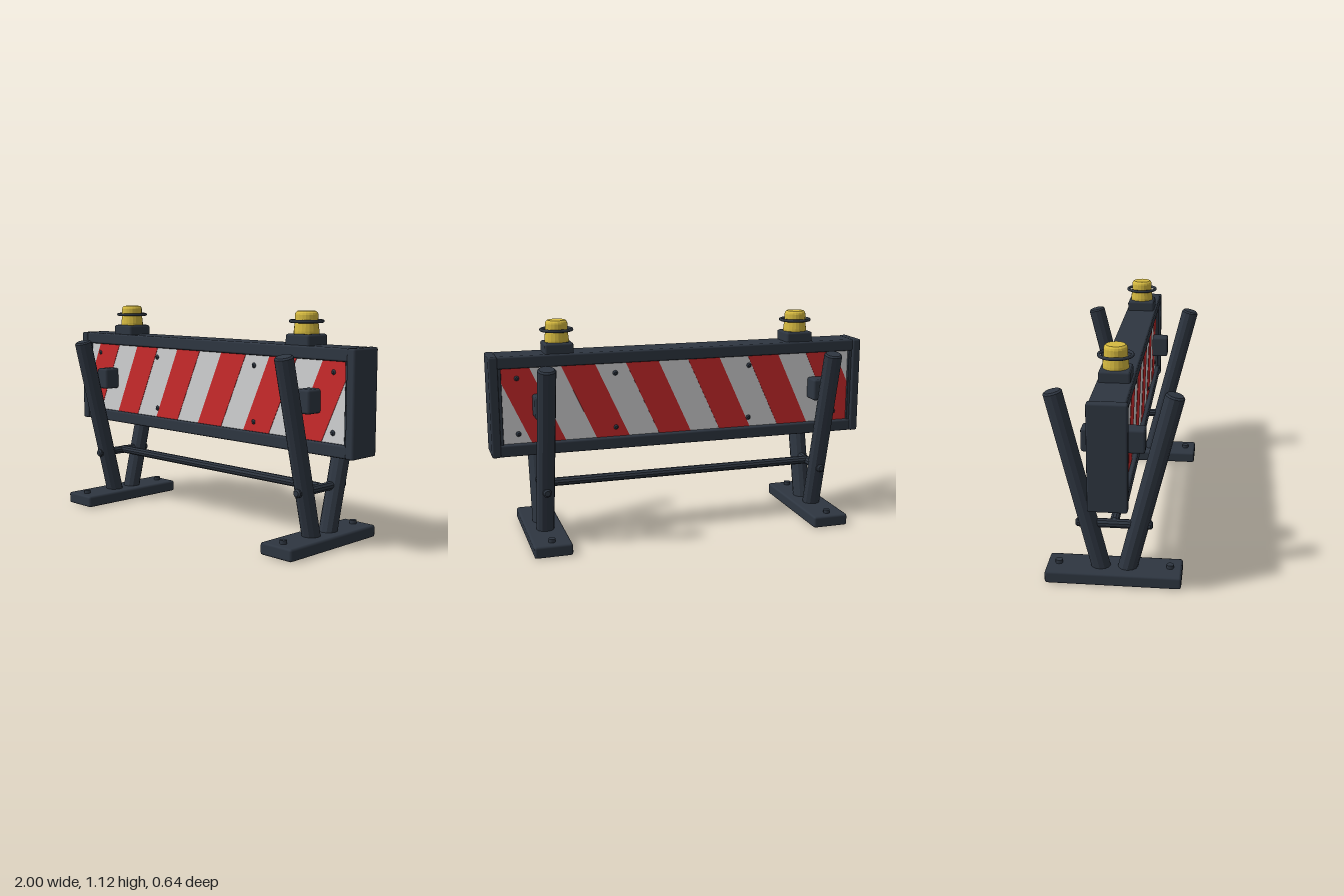
import * as THREE from 'three';
import { RoundedBoxGeometry } from 'three/addons/geometries/RoundedBoxGeometry.js';

const mat = (name, color) => {
  const m = new THREE.MeshStandardMaterial({ color });
  m.name = name;
  return m;
};

export function createModel() {
  const root = new THREE.Group();
  root.name = 'barricade';
  const steel = mat('dark steel', 0x2e3641);
  const white = mat('reflective white', 0xd2d3d5);
  const red = mat('stripe red', 0xcc2a2c);
  const amber = mat('lamp yellow', 0xd6ba40);

  const add = (name, geo, material, x = 0, y = 0, z = 0, parent = root) => {
    const m = new THREE.Mesh(geo, material);
    m.name = name;
    m.position.set(x, y, z);
    parent.add(m);
    return m;
  };
  const box = (w, h, d, bevel = 0.01) => new RoundedBoxGeometry(w, h, d, 1, bevel);
  // Round bar between two points
  const bar = (name, a, b, r, sides, parent = root) => {
    const from = new THREE.Vector3(...a), to = new THREE.Vector3(...b);
    const dir = to.clone().sub(from), len = dir.length(), e = 0.008;
    const profile = [[0, -len / 2], [r - e, -len / 2], [r, -len / 2 + e],
      [r, len / 2 - e], [r - e, len / 2], [0, len / 2]].map(p => new THREE.Vector2(...p));
    const geo = new THREE.LatheGeometry(profile, sides).toNonIndexed();
    geo.computeVertexNormals();
    const m = add(name, geo, steel, 0, 0, 0, parent);
    m.position.copy(from).add(to).multiplyScalar(0.5);
    m.quaternion.setFromUnitVectors(new THREE.Vector3(0, 1, 0), dir.normalize());
    return m;
  };

  // Sign frame: two rails, two end plates and inner stiles
  add('topRail', box(1.92, 0.062, 0.166), steel, 0, 0.935, 0);
  add('bottomRail', box(1.92, 0.062, 0.166), steel, 0, 0.491, 0);
  for (const s of [-1, 1]) {
    add('endPlate', box(0.046, 0.507, 0.18), steel, s * 0.975, 0.7135, 0);
    add('innerStile', box(0.03, 0.42, 0.15, 0.004), steel, s * 0.951, 0.713, 0);
  }

  // Striped board
  const left = -0.938, right = 0.938, bottom = 0.518, top = 0.908, half = 0.06;
  add('board', new THREE.BoxGeometry(right - left, top - bottom, half * 2), white, 0, (top + bottom) / 2, 0);
  // Keep the part of a polygon on one side of a vertical line
  const clip = (pts, limit, sign) => {
    const out = [];
    pts.forEach((p, i) => {
      const q = pts[(i + 1) % pts.length];
      const pin = (p.x - limit) * sign >= 0, qin = (q.x - limit) * sign >= 0;
      if (pin) out.push(p);
      if (pin !== qin) out.push(p.clone().lerp(q, (limit - p.x) / (q.x - p.x)));
    });
    return out;
  };
  for (let k = 0; k < 6; k++) {
    const x = -0.856 + k * 0.331, w = 0.172, lean = 0.178;
    let pts = [[x - lean, bottom], [x - lean + w, bottom], [x + w, top], [x, top]]
      .map(p => new THREE.Vector2(...p));
    pts = clip(clip(pts, left, 1), right, -1);
    const geo = new THREE.ExtrudeGeometry(new THREE.Shape(pts), { depth: 2 * half + 0.004, bevelEnabled: false });
    add('redStripe', geo, red, 0, 0, -half - 0.002);
  }
  for (const x of [-0.86, -0.362, 0.362, 0.86])
    for (const y of [0.57, 0.852])
      bar('boardBolt', [x, y, -0.069], [x, y, 0.069], 0.014, 8);

  // Trestles
  for (const s of [-1, 1]) {
    const trestle = new THREE.Group();
    trestle.name = s > 0 ? 'leftTrestle' : 'rightTrestle';
    trestle.position.x = s * 0.744;
    root.add(trestle);
    add('foot', box(0.192, 0.062, 0.644, 0.012), steel, 0, 0.031, 0, trestle);
    for (const f of [-1, 1]) {
      bar('leg', [0, 0.03, f * 0.057], [0, 0.929, f * 0.277], 0.046, 12, trestle);
      add('footBolt', new THREE.CylinderGeometry(0.018, 0.018, 0.03, 8), steel, 0, 0.065, f * 0.265, trestle);
      add('bracket', box(0.084, 0.115, 0.097, 0.012), steel, 0, 0.712, f * 0.0985, trestle);
    }
    bar('crossPin', [0, 0.283, -0.181], [0, 0.283, 0.181], 0.022, 10, trestle);
  }
  bar('longBrace', [-0.744, 0.287, 0], [0.744, 0.287, 0], 0.022, 10);

  // Warning lamps
  const lampProfile = [[0, 1.01], [0.061, 1.01], [0.061, 1.03], [0.056, 1.075], [0.056, 1.108],
    [0.053, 1.117], [0.045, 1.125], [0, 1.125]].map(p => new THREE.Vector2(...p));
  for (const s of [-1, 1]) {
    const lamp = new THREE.Group();
    lamp.name = 'warningLamp';
    lamp.position.x = s * 0.645;
    root.add(lamp);
    add('lampBase', box(0.146, 0.075, 0.146, 0.012), steel, 0, 0.98, 0, lamp);
    const lens = new THREE.LatheGeometry(lampProfile, 20).toNonIndexed();
    lens.computeVertexNormals();
    add('lampLens', lens, amber, 0, 0, 0, lamp);
    add('guardRing', new THREE.TorusGeometry(0.077, 0.008, 8, 24).rotateX(Math.PI / 2), steel, 0, 1.077, 0, lamp);
  }
  return root;
}
